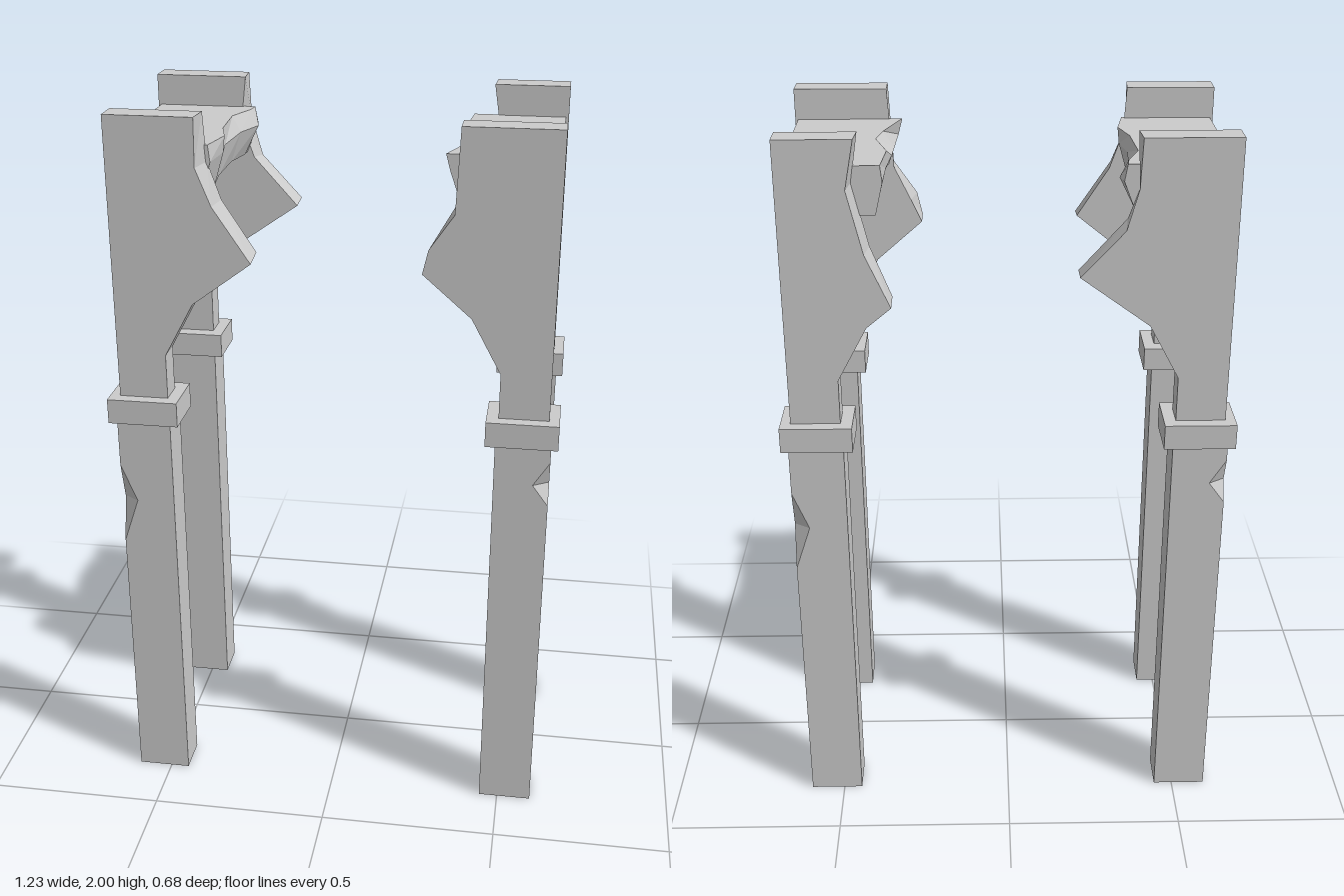
import * as THREE from 'three';

const material = new THREE.MeshStandardMaterial({ color: 0xcccccc, flatShading: true, side: THREE.DoubleSide });

// Solid through matching 2D outlines, one per level; place() turns (u, v, level) into x, y, z
function loft(name, outlines, levels, place) {
  let rings = outlines.map(o => o.map(([u, v]) => new THREE.Vector2(u, v)));
  if (THREE.ShapeUtils.isClockWise(rings[0])) rings = rings.map(r => r.reverse());
  const points = rings.map((r, k) => r.map(p => new THREE.Vector3(...place(p.x, p.y, levels[k]))));
  const n = rings[0].length, last = rings.length - 1;
  const tris = [];
  let volume = 0;
  const add = (a, b, c) => {
    const cross = b.clone().sub(a).cross(c.clone().sub(a));
    if (cross.length() < 1e-9) return;
    tris.push([a, b, c]);
    volume += a.dot(b.clone().cross(c));
  };
  for (let k = 0; k < last; k++) {
    for (let i = 0; i < n; i++) {
      const j = (i + 1) % n;
      const [a, b, c, d] = [points[k][i], points[k][j], points[k + 1][j], points[k + 1][i]];
      add(a, b, c);
      add(a, c, d);
    }
  }
  for (const [a, b, c] of THREE.ShapeUtils.triangulateShape(rings[0].slice(), [])) {
    add(points[0][c], points[0][b], points[0][a]);
  }
  for (const [a, b, c] of THREE.ShapeUtils.triangulateShape(rings[last].slice(), [])) {
    add(points[last][a], points[last][b], points[last][c]);
  }
  // Mirrored placements turn the faces inside out, so turn them back
  const corners = tris.flatMap(t => (volume < 0 ? [t[0], t[2], t[1]] : t));
  const geometry = new THREE.BufferGeometry().setFromPoints(corners);
  geometry.computeVertexNormals();
  const mesh = new THREE.Mesh(geometry, material);
  mesh.name = name;
  return mesh;
}

// Square post with a chip out of its outer corner
function post(sx, sz, low, mid, high) {
  const x0 = 0.447, x1 = 0.597, z0 = 0.213, z1 = 0.322;
  const ring = (ax, bz) => [[x0, z0], [x1, z0], [x1, bz], [ax, z1], [x0, z1]];
  const whole = ring(x1, z1);
  return loft('post', [whole, whole, ring(0.553, 0.293), whole, whole],
    [0, low, mid, high, 1.16], (x, z, y) => [sx * x, y, sz * z]);
}

// Broken arch spandrel; outer and inner list the fracture points on its two faces
function spandrel(sx, sz, outer, inner) {
  const outline = edge => [[0.588, 1.22], [0.453, 1.22], [0.453, 1.35], [0.372, 1.5], ...edge, [0.588, 2]];
  return loft('archSpandrel', [outline(inner), outline(outer)], [0.232, 0.307],
    (x, y, z) => [sx * x, y, sz * z]);
}

// Bridging slab with a jagged inner edge; each row is [z, bottom x, middle x, top x]
function slab(sx, rows) {
  const outline = k => [[0.58, 0.24], [0.58, -0.24], ...rows.map(r => [r[k], r[0]])];
  return loft('slab', [outline(1), outline(2), outline(3)], [1.785, 1.87, 1.915],
    (x, z, y) => [sx * x, y, z]);
}

export function createModel() {
  const group = new THREE.Group();

  // Posts and collars
  for (const sx of [-1, 1]) {
    for (const sz of [-1, 1]) {
      group.add(sx === sz ? post(sx, sz, 0.98, 1.04, 1.11) : post(sx, sz, 0.78, 0.91, 1.02));
      const collar = new THREE.Mesh(new THREE.BoxGeometry(0.195, 0.07, 0.15), material);
      collar.position.set(sx * 0.518, 1.19, sz * 0.267);
      collar.name = 'collar';
      group.add(collar);
    }
  }

  // Spandrels, each broken differently
  group.add(spandrel(1, 1,
    [[0.24, 1.615], [0.255, 1.68], [0.32, 1.775], [0.33, 2]],
    [[0.24, 1.615], [0.27, 1.68], [0.315, 1.775], [0.33, 2]]));
  group.add(spandrel(-1, 1,
    [[0.21, 1.62], [0.31, 1.77], [0.35, 1.87], [0.348, 2]],
    [[0.21, 1.63], [0.30, 1.77], [0.335, 1.87], [0.343, 2]]));
  group.add(spandrel(-1, -1,
    [[0.185, 1.635], [0.30, 1.76], [0.33, 1.87], [0.335, 2]],
    [[0.185, 1.63], [0.31, 1.77], [0.345, 1.87], [0.33, 2]]));
  group.add(spandrel(1, -1,
    [[0.305, 1.555], [0.37, 1.7], [0.41, 1.87], [0.385, 2]],
    [[0.305, 1.56], [0.36, 1.7], [0.40, 1.87], [0.38, 2]]));

  // Slabs joining the front and back spandrels
  group.add(slab(1, [
    [-0.24, 0.34, 0.32, 0.325], [-0.1, 0.34, 0.318, 0.315], [0.02, 0.36, 0.308, 0.35],
    [0.1, 0.35, 0.305, 0.335], [0.24, 0.33, 0.30, 0.288]]));
  group.add(slab(-1, [
    [-0.24, 0.33, 0.297, 0.305], [-0.2, 0.33, 0.288, 0.31], [-0.11, 0.35, 0.32, 0.343],
    [0.04, 0.35, 0.33, 0.335], [0.13, 0.34, 0.315, 0.31], [0.24, 0.35, 0.325, 0.33]]));

  return group;
}
